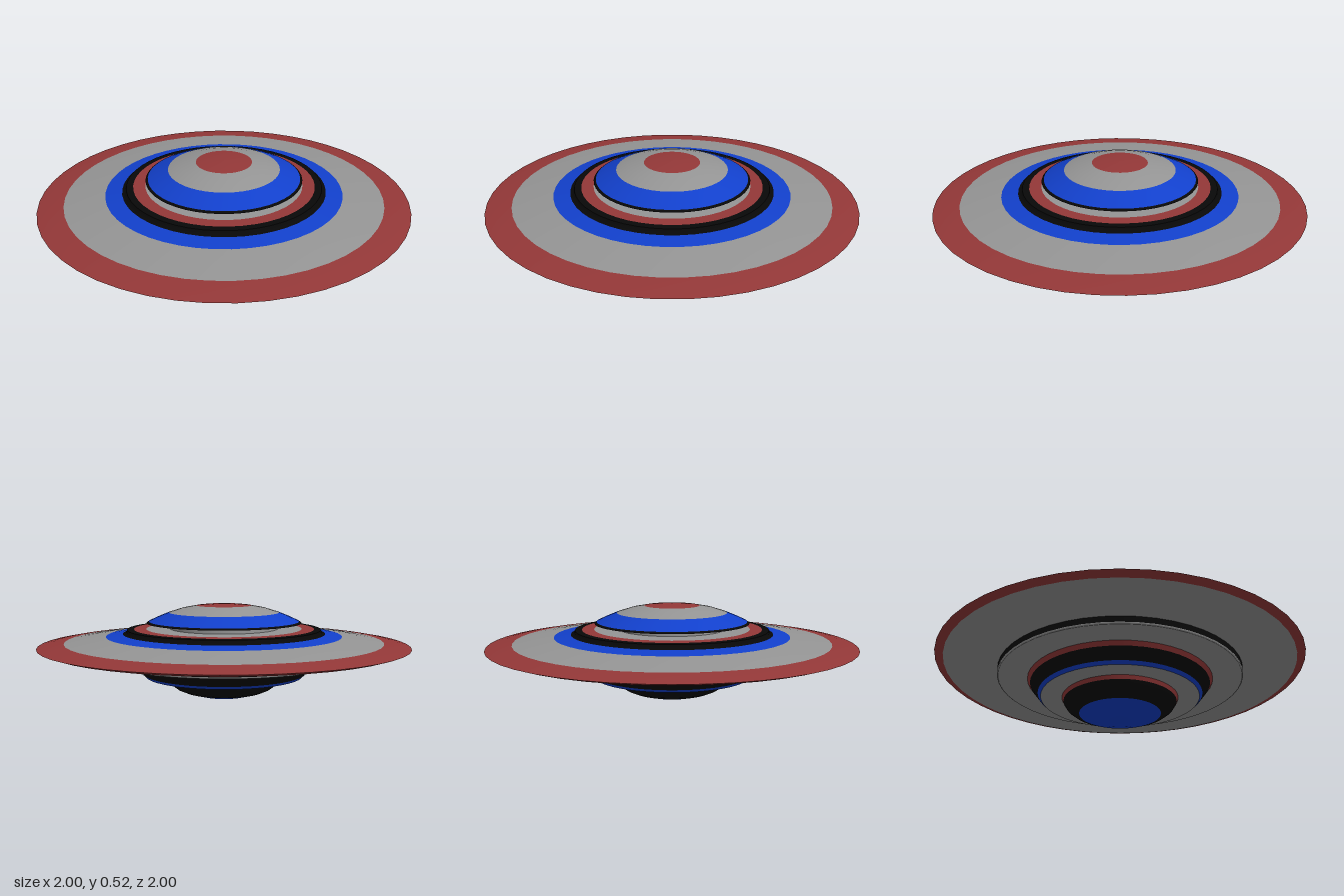
import * as THREE from 'three';

const SIDES = 48;
const COLORS = { grey: 0x959595, red: 0x943838, blue: 0x1240cc, black: 0x080808 };

// Each band: name, colour, [radius, height] points running up the outer profile.
const BANDS = [
  // lower dome
  ['lowerDomeTip', 'blue', [[0, 0], [0.06, 0.005], [0.14, 0.018], [0.22, 0.04]]],
  ['lowerDomeSide', 'black', [[0.22, 0.04], [0.26, 0.057], [0.29, 0.08], [0.306, 0.107]]],
  ['lowerDomeCollar', 'red', [[0.306, 0.107], [0.315, 0.127]]],
  // tapered belly
  ['bellyFloor', 'grey', [[0.315, 0.127], [0.43, 0.127]]],
  ['bellyTrim', 'blue', [[0.43, 0.127], [0.446, 0.143]]],
  ['bellySide', 'black', [[0.446, 0.143], [0.49, 0.2]]],
  ['bellyCollar', 'red', [[0.49, 0.2], [0.505, 0.222]]],
  // stepped ring under the disc
  ['stepFloor', 'grey', [[0.505, 0.222], [0.662, 0.222]]],
  ['stepLip', 'grey', [[0.662, 0.222], [0.668, 0.226], [0.668, 0.231]]],
  ['stepWall', 'black', [[0.668, 0.231], [0.668, 0.262]]],
  // main disc
  ['discUnderside', 'grey', [[0.668, 0.262], [0.82, 0.27], [0.955, 0.285]]],
  ['discLowerRim', 'red', [[0.955, 0.285], [1, 0.3]]],
  ['discUpperRim', 'red', [[1, 0.3], [0.94, 0.311], [0.86, 0.32]]],
  ['discTop', 'grey', [[0.86, 0.32], [0.75, 0.336], [0.64, 0.349]]],
  ['discInnerRing', 'blue', [[0.64, 0.349], [0.55, 0.362]]],
  // raised deck
  ['deckWall', 'black', [[0.55, 0.362], [0.532, 0.366], [0.527, 0.384]]],
  ['deckEdge', 'black', [[0.527, 0.384], [0.49, 0.386]]],
  ['deckRing', 'red', [[0.49, 0.386], [0.424, 0.386]]],
  ['deckFloor', 'grey', [[0.424, 0.386], [0.295, 0.386]]],
  ['neck', 'grey', [[0.295, 0.386], [0.295, 0.42]]],
  // upper dome
  ['domeUnderside', 'grey', [[0.295, 0.42], [0.422, 0.418]]],
  ['domeLip', 'black', [[0.422, 0.418], [0.41, 0.427]]],
  ['domeSkirt', 'blue', [[0.41, 0.427], [0.36, 0.45], [0.3, 0.474]]],
  ['domeShoulder', 'grey', [[0.3, 0.474], [0.23, 0.496], [0.15, 0.511]]],
  ['domeCap', 'red', [[0.15, 0.511], [0.08, 0.518], [0, 0.52]]],
];

export function createModel() {
  const model = new THREE.Group();
  model.name = 'saucer';
  const materials = {};
  for (const key in COLORS) {
    materials[key] = new THREE.MeshStandardMaterial({ color: COLORS[key] });
  }
  for (const [name, color, profile] of BANDS) {
    const points = profile.map(([r, y]) => new THREE.Vector2(r, y));
    const band = new THREE.Mesh(new THREE.LatheGeometry(points, SIDES), materials[color]);
    band.name = name;
    model.add(band);
  }
  return model;
}
